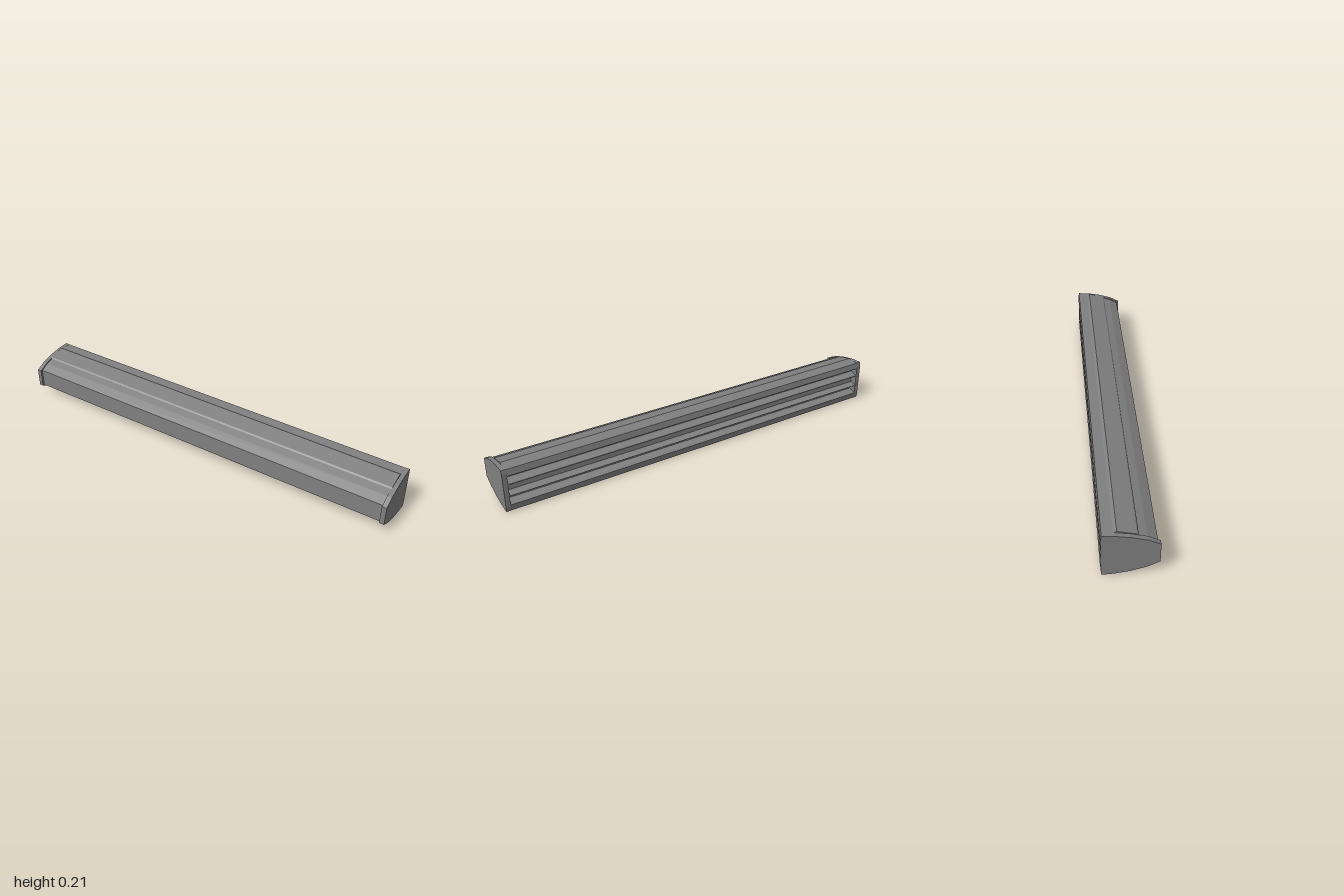
import * as THREE from 'three';

const MID = 0.109; // height of the horizontal symmetry plane

// Extrudes a symmetric section along x; half = [z, height above MID] pairs, front to back
function bar(name, half, x0, x1, material) {
  const upper = half.map(([z, h]) => new THREE.Vector2(-z, MID + h));
  const lower = half.map(([z, h]) => new THREE.Vector2(-z, MID - h)).reverse();
  const geometry = new THREE.ExtrudeGeometry(new THREE.Shape([...upper, ...lower]), {
    depth: x1 - x0, bevelEnabled: false,
  });
  geometry.rotateY(Math.PI / 2);
  geometry.translate(x0, 0, 0);
  const mesh = new THREE.Mesh(geometry, material);
  mesh.name = name;
  return mesh;
}

export function createModel() {
  const group = new THREE.Group();
  group.name = 'linearBar';
  const grey = new THREE.MeshStandardMaterial({ color: 0x808080 });
  grey.name = 'grey';

  // Faceted front cover
  group.add(bar('frontCover', [
    [0.108, 0.045], [0.066, 0.067], [0.029, 0.079],
  ], -0.98, 0.98, grey));

  // Rear housing: raised shoulders, back lips and three long grooves
  group.add(bar('housing', [
    [0.029, 0.079], [0.033, 0.082], [0.027, 0.088], [-0.052, 0.107],
    [-0.066, 0.101], [-0.112, 0.103], [-0.117, 0.072], [-0.112, 0.071],
    [-0.078, 0.06], [-0.078, 0.044], [-0.114, 0.03], [-0.116, 0.027],
    [-0.082, 0.018],
  ], -0.98, 0.98, grey));

  // End caps
  const cap = [
    [0.118, 0.046], [0.07, 0.071], [0, 0.091], [-0.06, 0.101],
    [-0.112, 0.104], [-0.115, 0.085],
  ];
  group.add(bar('leftEndCap', cap, 0.978, 1, grey));
  group.add(bar('rightEndCap', cap, -1, -0.978, grey));

  return group;
}
